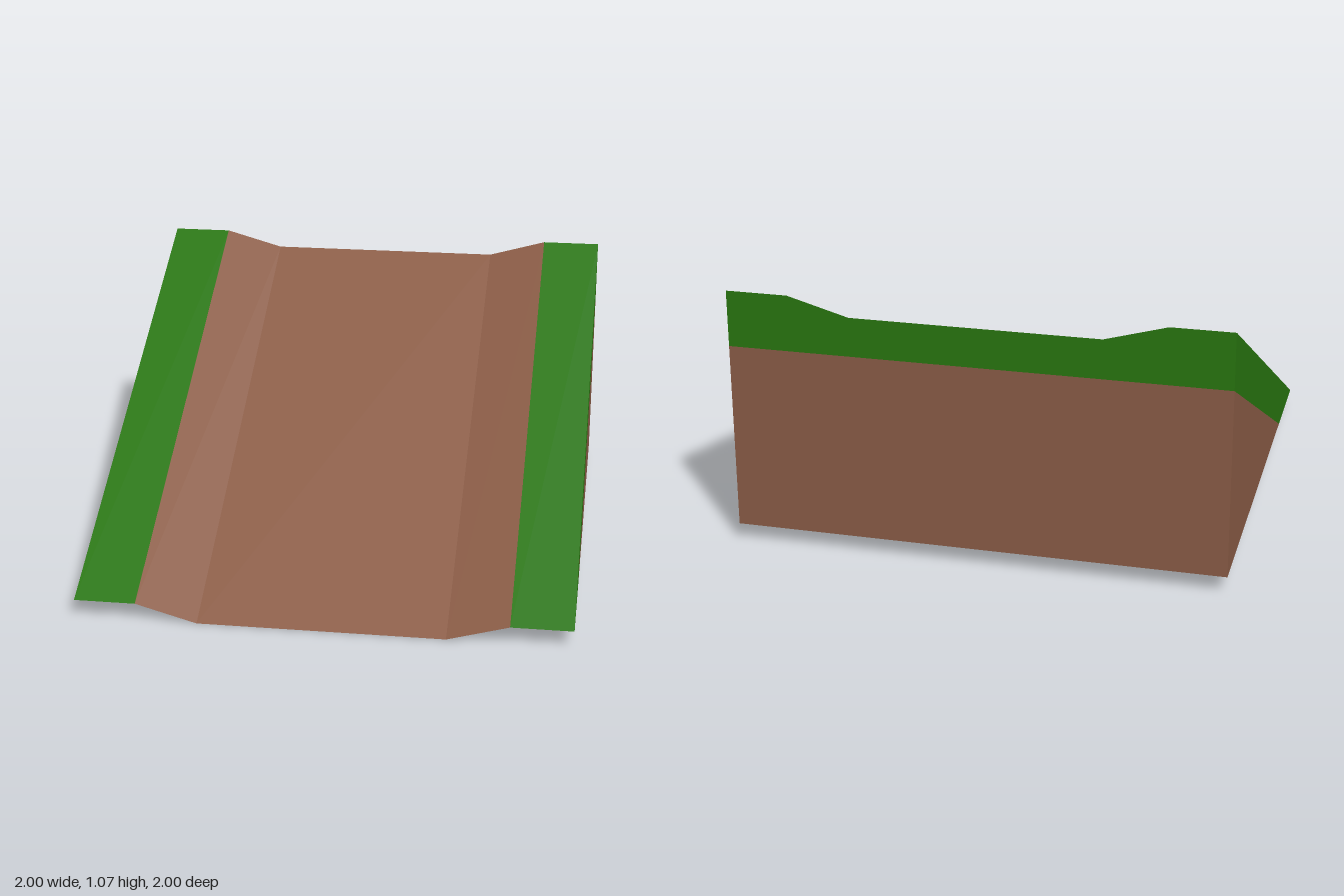
import * as THREE from 'three';

const grass = new THREE.MeshStandardMaterial({ color: 0x28750f });
grass.name = 'grass green';
const dirt = new THREE.MeshStandardMaterial({ color: 0x8a5c46 });
dirt.name = 'dirt brown';

const BASE = 0.07;       // height of the flat underside
const LIP = 0.57;        // z where the front lip meets the flat underside
const SOIL = 0.84;       // top of the exposed soil at the back
const RISE = 1;          // height gained from front to back

// Cross-section across the slope: raised banks and a sunken path
const profile = [[-1, BASE], [-0.75, BASE], [-0.5, 0], [0.5, 0], [0.75, BASE], [1, BASE]];
const row = (z, rise = 0) => profile.map(([x, y]) => [x, y + rise, z]);
const level = (z, y) => profile.map(([x]) => [x, y, z]);

// Flat-shaded strip between two rows of points; faces (direction of a) x (a to b)
function strip(name, material, a, b) {
  const pos = [];
  for (let i = 0; i < a.length - 1; i++) {
    pos.push(...a[i], ...a[i + 1], ...b[i + 1]);
    if (a[i].some((v, k) => v !== b[i][k])) pos.push(...a[i], ...b[i + 1], ...b[i]);
  }
  const geometry = new THREE.BufferGeometry();
  geometry.setAttribute('position', new THREE.Float32BufferAttribute(pos, 3));
  geometry.computeVertexNormals();
  const mesh = new THREE.Mesh(geometry, material);
  mesh.name = name;
  return mesh;
}

export function createModel() {
  const model = new THREE.Group();
  model.name = 'slopedPath';

  // Sloping top: path in the middle, grass banks on both sides
  const front = row(1), back = row(-1, RISE);
  model.add(strip('path', dirt, front.slice(1, 5), back.slice(1, 5)));
  model.add(strip('rightBank', grass, front.slice(0, 2), back.slice(0, 2)));
  model.add(strip('leftBank', grass, front.slice(4), back.slice(4)));

  // Back wall: grass edge above soil
  model.add(strip('backGrassEdge', grass, back, level(-1, SOIL)));
  model.add(strip('backSoil', dirt, [[-1, SOIL, -1], [1, SOIL, -1]], [[-1, BASE, -1], [1, BASE, -1]]));

  // Underside: flat soil and the grass lip at the front
  model.add(strip('bottomSoil', dirt, [[-1, BASE, -1], [1, BASE, -1]], [[-1, BASE, LIP], [1, BASE, LIP]]));
  model.add(strip('frontLip', grass, level(LIP, BASE), front));

  // Side walls, mirrored
  for (const [side, x] of [['left', 1], ['right', -1]]) {
    const toe = [x, BASE, LIP];
    const soilTop = [x, SOIL, -1];
    const lower = [toe, [x, BASE, -1]];
    const middle = [toe, soilTop];
    const upper = [[x, BASE, 1], [x, BASE + RISE, -1]];
    const wall = (name, material, a, b) => {
      // Reverse both rows on the mirrored side so the face points outwards
      const mesh = x > 0 ? strip(name, material, a, b) : strip(name, material, b, a);
      model.add(mesh);
    };
    wall(side + 'GrassEdge', grass, middle, upper);
    wall(side + 'Soil', dirt, lower, middle);
  }
  return model;
}
